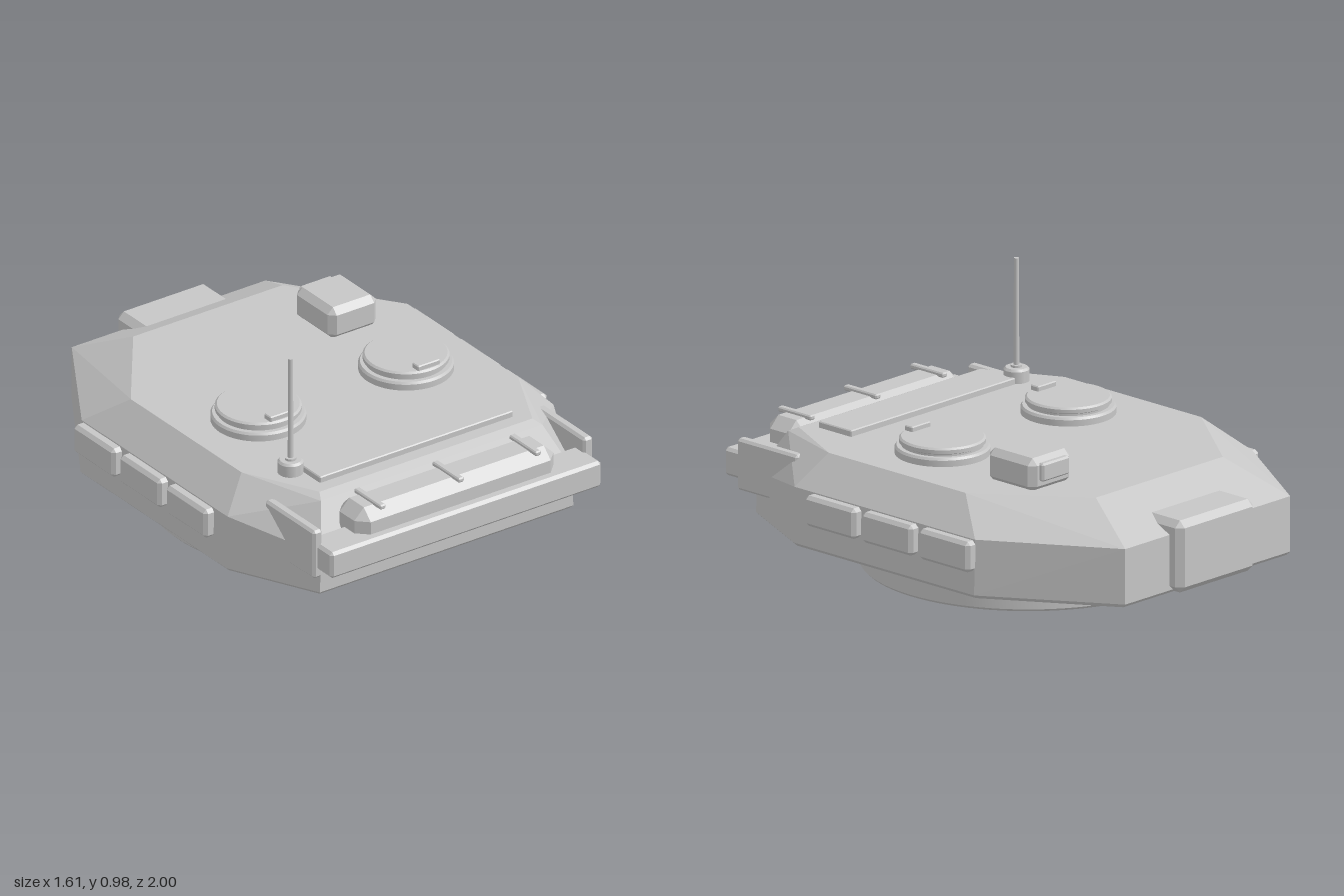
import * as THREE from 'three';
import { toCreasedNormals } from 'three/addons/utils/BufferGeometryUtils.js';
import { ConvexGeometry } from 'three/addons/geometries/ConvexGeometry.js';

export function createModel() {
  const model = new THREE.Group();
  const armour = new THREE.MeshStandardMaterial({ color: 0xc6c6c6 });
  armour.name = 'armour grey';

  const add = (name, geometry, x = 0, y = 0, z = 0) => {
    const mesh = new THREE.Mesh(geometry, armour);
    mesh.name = name;
    mesh.position.set(x, y, z);
    model.add(mesh);
    return mesh;
  };

  // Box with cut edges, given by its limits on each axis
  const block = (name, [x0, x1], [y0, y1], [z0, z1], c = 0.01) => {
    const h = [(x1 - x0) / 2, (y1 - y0) / 2, (z1 - z0) / 2];
    const points = [];
    for (const sx of [-1, 1]) for (const sy of [-1, 1]) for (const sz of [-1, 1])
      for (let full = 0; full < 3; full++) {
        const [x, y, z] = h.map((v, i) => (i === full ? v : v - c));
        points.push(new THREE.Vector3(sx * x, sy * y, sz * z));
      }
    return add(name, new ConvexGeometry(points), (x0 + x1) / 2, (y0 + y1) / 2, (z0 + z1) / 2);
  };

  // Round part turned from a profile of [radius, height] pairs
  const turned = (name, profile, x, y, z, sides = 64) => {
    const lathe = new THREE.LatheGeometry(profile.map(([r, h]) => new THREE.Vector2(r, h)), sides);
    return add(name, toCreasedNormals(lathe, 0.5), x, y, z);
  };

  // Hull: faceted shell, each point is mirrored across x
  const shell = [
    // underside and lower edge
    [0.45, 0.123, -0.93], [0.755, 0.123, -0.445], [0.755, 0.123, 0.495], [0.585, 0.123, 0.85],
    [0.455, 0.138, -0.945], [0.77, 0.138, -0.45], [0.77, 0.138, 0.5], [0.595, 0.138, 0.865],
    // shoulder
    [0.455, 0.36, -0.945], [0.765, 0.36, -0.45], [0.765, 0.36, 0.5], [0.59, 0.3, 0.865],
    // front brow
    [0.52, 0.468, 0.768],
    // roof
    [0.35, 0.485, -0.69], [0.65, 0.485, -0.29], [0.65, 0.485, 0.43], [0.5, 0.485, 0.73],
  ];
  add('hull', new ConvexGeometry(shell.flatMap(([x, y, z]) =>
    [new THREE.Vector3(x, y, z), new THREE.Vector3(-x, y, z)])));

  // Turret ring below the hull
  turned('turretRing', [[0, 0], [0.635, 0], [0.645, 0.01], [0.645, 0.105], [0.635, 0.115],
    [0.59, 0.115], [0.59, 0.14]], 0, 0, 0, 96);

  // Rear stowage box
  block('rearBox', [-0.215, 0.21], [0.13, 0.418], [-1, -0.74], 0.026);

  // Side boxes, three per side
  for (const s of [-1, 1])
    for (const z of [-0.32, -0.02, 0.28])
      block('sideBox', s < 0 ? [-0.807, -0.72] : [0.72, 0.807], [0.233, 0.355], [z - 0.132, z + 0.132], 0.014);

  // Hatches with lids and handles
  for (const s of [-1, 1]) {
    const x = s * 0.347;
    turned('hatch', [[0.183, -0.01], [0.183, 0.025], [0.176, 0.034], [0.158, 0.034], [0.158, 0.042],
      [0.166, 0.046], [0.166, 0.061], [0.158, 0.068], [0, 0.068]], x, 0.485, 0.12);
    block('hatchHandle', [x - 0.052, x + 0.052], [0.545, 0.573], [0.23, 0.272], 0.004);
  }

  // Sight housing on the roof
  block('sightHousing', [0.243, 0.47], [0.475, 0.61], [-0.472, -0.222], 0.026);
  block('sightWindow', [0.282, 0.432], [0.52, 0.592], [-0.49, -0.46], 0.007);

  // Roof plate and antenna
  block('roofPlate', [-0.457, 0.45], [0.475, 0.51], [0.503, 0.675], 0.004);
  turned('antennaBase', [[0.05, -0.01], [0.05, 0.046], [0.042, 0.055], [0.022, 0.055], [0.022, 0.064],
    [0, 0.064]], -0.495, 0.485, 0.535, 32);
  add('antennaRod', new THREE.CylinderGeometry(0.01, 0.011, 0.44, 16), -0.495, 0.755, 0.535);

  // Front rack: crossbar, side plates, stowage box and straps
  block('rackBar', [-0.638, 0.633], [0.265, 0.377], [0.84, 1], 0.012);
  for (const s of [-1, 1])
    block('rackSidePlate', [s * 0.635 - 0.022, s * 0.635 + 0.022], [0.232, 0.438], [0.59, 0.91], 0.01);
  block('frontStowage', [-0.47, 0.465], [0.3, 0.475], [0.775, 0.96], 0.045);
  for (const x of [-0.368, 0, 0.362])
    block('stowageStrap', [x - 0.014, x + 0.014], [0.468, 0.488], [0.788, 0.962], 0.005);

  return model;
}
